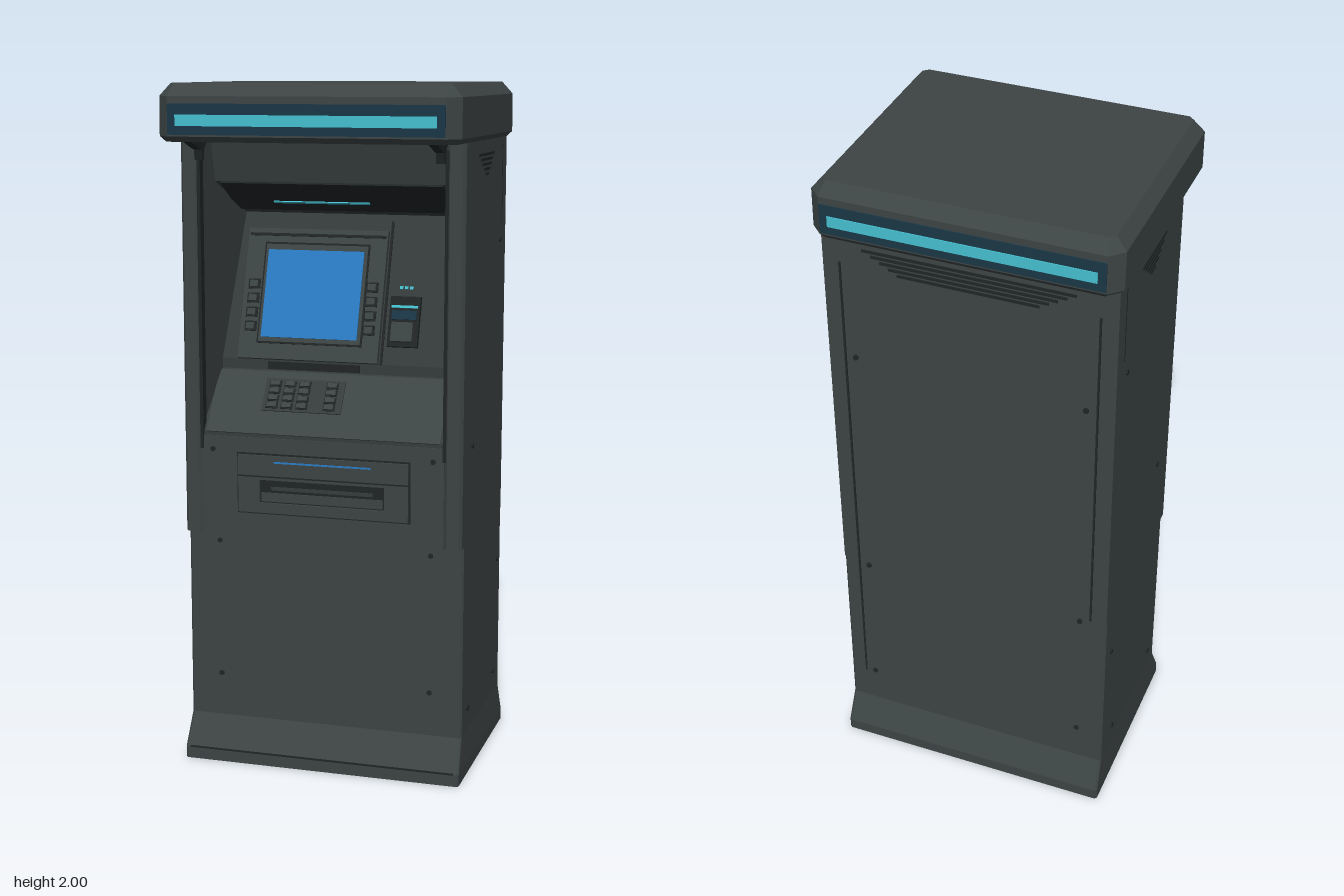
import * as THREE from 'three';

const mat = (name, color) => {
  const m = new THREE.MeshStandardMaterial({ color });
  m.name = name;
  m.flatShading = true;
  return m;
};

export function createModel() {
  const shell = mat('charcoal shell', 0x3d4444);
  const trim = mat('dark trim', 0x202526);
  const inner = mat('recess grey', 0x363c3c);
  const blue = mat('screen blue', 0x2a7ac4);
  const cyan = mat('light cyan', 0x45c0d0);
  const navy = mat('sign navy', 0x1a3646);
  const root = new THREE.Group();
  root.name = 'cashKiosk';

  const add = (name, geo, m, parent = root) => {
    const mesh = new THREE.Mesh(geo, m);
    mesh.name = name;
    parent.add(mesh);
    return mesh;
  };
  // box given by its limits
  const box = (name, m, x0, x1, y0, y1, z0, z1, parent = root) => {
    const g = new THREE.BoxGeometry(x1 - x0, y1 - y0, z1 - z0);
    g.translate((x0 + x1) / 2, (y0 + y1) / 2, (z0 + z1) / 2);
    return add(name, g, m, parent);
  };
  // side profile of [z, y] points, extruded from x0 to x1
  const sideProfile = (name, m, pts, x0, x1) => {
    const s = new THREE.Shape(pts.map(p => new THREE.Vector2(...p)));
    const g = new THREE.ExtrudeGeometry(s, { depth: x1 - x0, bevelEnabled: false });
    g.rotateY(-Math.PI / 2).translate(x1, 0, 0);
    return add(name, g, m);
  };
  // plan profile of [x, z] points, extruded from y0 to y1
  const planProfile = (name, m, pts, y0, y1) => {
    const s = new THREE.Shape(pts.map(([x, z]) => new THREE.Vector2(x, -z)));
    const g = new THREE.ExtrudeGeometry(s, { depth: y1 - y0, bevelEnabled: false });
    g.rotateX(-Math.PI / 2).translate(0, y0, 0);
    return add(name, g, m);
  };
  // chamfered rectangles [y, halfX, zBack, zFront, chamfer] stacked into a solid
  const loft = (name, m, sections) => {
    const rings = sections.map(([y, x, b, f, c]) => [
      [x, f - c], [x, b + c], [x - c, b], [c - x, b],
      [-x, b + c], [-x, f - c], [c - x, f], [x - c, f]].map(([px, pz]) => [px, y, pz]));
    const v = [];
    const tri = (...p) => p.forEach(q => v.push(...q));
    for (let i = 0; i < rings.length - 1; i++) {
      for (let j = 0; j < 8; j++) {
        const k = (j + 1) % 8, a = rings[i], b = rings[i + 1];
        tri(a[j], a[k], b[k]);
        tri(a[j], b[k], b[j]);
      }
    }
    const lo = rings[0], hi = rings[rings.length - 1];
    for (let j = 1; j < 7; j++) {
      tri(hi[0], hi[j], hi[j + 1]);
      tri(lo[0], lo[j + 1], lo[j]);
    }
    const g = new THREE.BufferGeometry();
    g.setAttribute('position', new THREE.Float32BufferAttribute(v, 3));
    g.computeVertexNormals();
    return add(name, g, m);
  };
  // tilted panel between two [z, y] points; its plates are placed by upright height
  const tilted = (name, [z0, y0], [z1, y1]) => {
    const g = new THREE.Group();
    const angle = Math.atan2(z1 - z0, y1 - y0), yc = (y0 + y1) / 2;
    g.name = name;
    g.position.set(0, yc, (z0 + z1) / 2);
    g.rotation.x = angle;
    root.add(g);
    const h = y => (y - yc) / Math.cos(angle);
    return (part, m, xa, xb, ya, yb, za, zb) => box(part, m, xa, xb, h(ya), h(yb), za, zb, g);
  };

  // Cabinet with flared foot
  loft('plinthAndLowerBody', shell, [
    [0, 0.42, -0.365, 0.24, 0.006], [0.035, 0.42, -0.365, 0.24, 0.006],
    [0.13, 0.416, -0.325, 0.19, 0.006], [0.7, 0.416, -0.322, 0.19, 0.006]]);
  box('footSeam', trim, -0.405, 0.405, 0.034, 0.039, 0.2, 0.241);

  // Cap with chamfered edges
  loft('cap', shell, [
    [1.84, 0.415, -0.355, 0.355, 0.03], [1.855, 0.43, -0.368, 0.368, 0.035],
    [1.965, 0.43, -0.366, 0.366, 0.035], [2, 0.4, -0.335, 0.335, 0.015]]);
  for (const s of [1, -1]) {
    const za = s > 0 ? 0.362 : -0.37, zb = s > 0 ? 0.37 : -0.362;
    box('signBand', navy, -0.393, 0.393, 1.86, 1.945, za, zb);
    box('signLight', cyan, -0.37, 0.37, 1.884, 1.915, za - (s < 0 ? 0.003 : 0), zb + (s > 0 ? 0.003 : 0));
  }

  // Upper body: infill holding the recess, back and side cheeks
  sideProfile('recessBody', inner, [
    [-0.315, 0.7], [0.205, 0.7], [0.21, 1.0], [0.09, 1.17], [0.09, 1.2],
    [-0.05, 1.62], [0.12, 1.72], [0.14, 1.84], [-0.315, 1.84]], -0.37, 0.37);
  box('lowerFascia', shell, -0.362, 0.362, 0.702, 0.99, 0.19, 0.213);
  box('upperBack', shell, -0.416, 0.416, 0.7, 1.84, -0.322, -0.3);
  for (const s of [1, -1]) {
    planProfile('sideCheek', shell, [
      [s * 0.416, -0.32], [s * 0.416, 0.21], [s * 0.408, 0.22],
      [s * 0.372, 0.22], [s * 0.362, 0.21], [s * 0.362, -0.32]], 0.7, 1.84);
    planProfile('recessWall', inner, [
      [s * 0.365, 0.2], [s * 0.365, -0.06], [s * 0.31, -0.06]], 1.0, 1.84);
    const a = s * 0.358, b = s * 0.368;
    box('cheekTrim', trim, Math.min(a, b), Math.max(a, b), 0.95, 1.82, 0.19, 0.216);
    // hook under the cap
    sideProfile('canopyHook', trim, [
      [0.34, 1.842], [0.27, 1.82], [0.25, 1.815], [0.243, 1.785],
      [0.232, 1.785], [0.232, 1.815], [0.2, 1.842]], s * 0.35 - 0.012, s * 0.35 + 0.012);
  }

  // Underside of the overhang with its lamp
  const hood = tilted('overhang', [-0.05, 1.62], [0.12, 1.72]);
  hood('overhangPanel', trim, -0.33, 0.33, 1.635, 1.72, 0, 0.006);
  hood('overhangLamp', cyan, -0.2, 0.09, 1.66, 1.665, 0.004, 0.009);

  // Screen, its buttons and the card reader
  const face = tilted('screenPanel', [0.09, 1.2], [-0.05, 1.62]);
  face('bezel', shell, -0.29, 0.135, 1.2, 1.57, -0.01, 0.018);
  face('bezelTopEdge', trim, -0.285, 0.13, 1.548, 1.556, 0.012, 0.02);
  face('screenFrame', trim, -0.235, 0.085, 1.243, 1.53, 0.01, 0.021);
  face('screenRim', shell, -0.23, 0.08, 1.248, 1.524, 0.012, 0.023);
  face('screen', blue, -0.222, 0.07, 1.26, 1.508, 0.02, 0.026);
  for (const x of [-0.258, 0.102]) {
    for (let i = 0; i < 4; i++) {
      const y = 1.29 + i * 0.04;
      face('buttonSocket', trim, x - 0.018, x + 0.018, y - 0.014, y + 0.014, 0.012, 0.021);
      face('screenButton', shell, x - 0.012, x + 0.012, y - 0.009, y + 0.009, 0.015, 0.028);
    }
  }
  face('panelSeam', trim, 0.139, 0.146, 1.2, 1.6, -0.003, 0.004);
  face('cardReader', trim, 0.158, 0.248, 1.25, 1.39, 0, 0.014);
  face('cardReaderLip', shell, 0.172, 0.235, 1.262, 1.315, 0.005, 0.035);
  face('cardSlot', navy, 0.166, 0.24, 1.325, 1.35, 0.01, 0.018);
  face('cardLight', cyan, 0.164, 0.242, 1.357, 1.364, 0.01, 0.019);
  for (const x of [0.185, 0.2, 0.215]) face('cardIndicator', cyan, x - 0.005, x + 0.005, 1.412, 1.42, 0, 0.005);
  box('receiptSlot', trim, -0.2, 0.08, 1.173, 1.195, 0.08, 0.095);

  // Keypad on the sloping ledge
  const ledge = tilted('keypadLedge', [0.21, 1.0], [0.09, 1.17]);
  ledge('ledgePlate', shell, -0.35, 0.35, 1.0, 1.165, -0.01, 0.004);
  ledge('keypadPlate', inner, -0.195, 0.045, 1.06, 1.145, 0, 0.008);
  for (let r = 0; r < 4; r++) {
    for (let c = 0; c < 4; c++) {
      const x = [-0.165, -0.12, -0.075, 0.008][c], y = 1.074 + r * 0.019;
      ledge('keyGap', trim, x - 0.018, x + 0.018, y - 0.008, y + 0.008, 0.004, 0.01);
      ledge('key', shell, x - 0.014, x + 0.014, y - 0.0055, y + 0.0055, 0.006, 0.016);
    }
  }

  // Cash tray: frame with an opening, dark slot and flap
  const frame = new THREE.Shape();
  frame.moveTo(-0.25, 0.77).lineTo(0.26, 0.77).lineTo(0.26, 0.94).lineTo(-0.25, 0.94).closePath();
  const hole = new THREE.Path();
  hole.moveTo(-0.185, 0.8).lineTo(-0.185, 0.868).lineTo(0.19, 0.868).lineTo(0.19, 0.8).closePath();
  frame.holes.push(hole);
  box('trayOutline', trim, -0.255, 0.265, 0.765, 0.945, 0.205, 0.215);
  const frameGeo = new THREE.ExtrudeGeometry(frame, { depth: 0.013, bevelEnabled: false });
  add('trayFrame', frameGeo.translate(0, 0, 0.21), shell);
  box('trayFlap', shell, -0.18, 0.185, 0.804, 0.83, 0.21, 0.219);
  box('trayLip', inner, -0.15, 0.155, 0.838, 0.848, 0.21, 0.219);
  box('trayLight', blue, -0.14, 0.15, 0.919, 0.924, 0.218, 0.225);
  box('traySeam', trim, -0.25, 0.26, 0.876, 0.88, 0.218, 0.2245);

  // Vents: louvres narrowing downwards on the back and both sides
  for (let i = 0; i < 5; i++) {
    const y = 1.8 - i * 0.014, w = 0.3 - i * 0.025;
    box('backVent', trim, -w, w, y - 0.004, y + 0.004, -0.325, -0.318);
    for (const s of [1, -1]) {
      box('sideVent', trim, s * 0.415 - 0.003, s * 0.415 + 0.003,
        y - 0.004, y + 0.004, -0.14 + i * 0.018, 0.06 - i * 0.022);
    }
  }

  // Door seams
  box('backSeam', trim, 0.364, 0.37, 0.24, 1.75, -0.325, -0.318);
  box('backSeam', trim, -0.37, -0.364, 0.7, 1.75, -0.325, -0.318);
  for (const s of [1, -1]) box('sideSeam', trim, s * 0.415 - 0.002, s * 0.415 + 0.002, 1.59, 1.82, -0.268, -0.264);

  // Bolts on every side
  const bolt = (x, y, z, alongX) => {
    const g = new THREE.CylinderGeometry(0.008, 0.008, 0.012, 6);
    if (alongX) g.rotateZ(Math.PI / 2); else g.rotateX(Math.PI / 2);
    add('bolt', g.translate(x, y, z), trim);
  };
  for (const s of [1, -1]) {
    for (const y of [0.26, 0.67]) bolt(s * 0.32, y, 0.188, false);
    bolt(s * 0.33, 0.95, 0.212, false);
    for (const y of [0.25, 0.69, 1.45]) bolt(s * 0.335, y, -0.324, false);
    for (const [y, z] of [[0.2, -0.23], [0.55, -0.27], [0.98, 0.1], [1.54, -0.24], [0.2, 0.12]]) bolt(s * 0.415, y, z, true);
  }
  return root;
}
